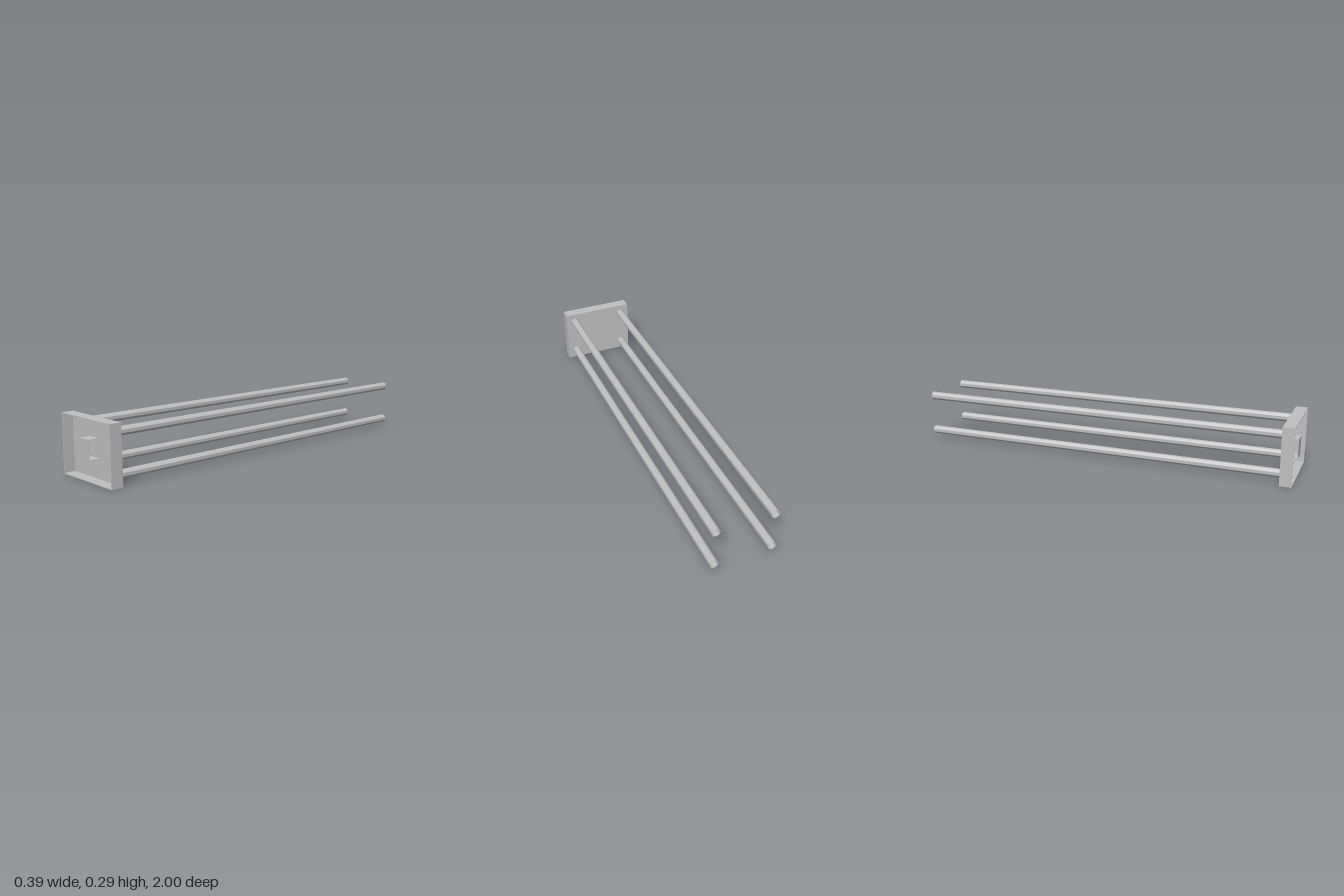
import * as THREE from 'three';
import { toCreasedNormals } from 'three/addons/utils/BufferGeometryUtils.js';

const steel = new THREE.MeshStandardMaterial({ color: 0xbfbfbf });
steel.name = 'steel grey';

const W = 0.39, H = 0.293, T = 0.004;  // tray width, height, sheet thickness
const BACK = 0.94, FRONT = 1;          // tray depth range

function box(name, w, h, d, x, y, z) {
  const mesh = new THREE.Mesh(new THREE.BoxGeometry(w, h, d), steel);
  mesh.name = name;
  mesh.position.set(x, y, z);
  return mesh;
}

// Shallow tray, open to the front
function createTray() {
  const tray = new THREE.Group();
  tray.name = 'tray';
  const depth = FRONT - BACK - T, z = (FRONT + BACK + T) / 2;
  tray.add(box('backPlate', W, H, T, 0, H / 2, BACK + T / 2));
  for (const s of [-1, 1]) {
    tray.add(box(s > 0 ? 'leftRim' : 'rightRim', T, H, depth, s * (W - T) / 2, H / 2, z));
    tray.add(box(s > 0 ? 'topRim' : 'bottomRim', W - 2 * T, T, depth, 0, H / 2 + s * (H - T) / 2, z));
  }
  return tray;
}

// C-shaped bracket, open at both sides, its legs on the back plate
function createBracket() {
  const bracket = new THREE.Group();
  bracket.name = 'bracket';
  const w = 0.073, h = 0.098, x = -0.0135, y = 0.1475, t = 0.003;
  const legDepth = FRONT - t - BACK - T;
  bracket.add(box('bracketFace', w, h, t, x, y, FRONT - t / 2));
  for (const s of [-1, 1]) {
    bracket.add(box(s > 0 ? 'upperLeg' : 'lowerLeg', w, t, legDepth,
      x, y + s * (h - t) / 2, BACK + T + legDepth / 2));
  }
  return bracket;
}

// Hollow round tube running backwards from the tray
function createTubeGeometry() {
  const ring = new THREE.Shape().absarc(0, 0, 0.0213, 0, Math.PI * 2, false);
  ring.holes.push(new THREE.Path().absarc(0, 0, 0.0193, 0, Math.PI * 2, true));
  const geometry = new THREE.ExtrudeGeometry(ring, {
    depth: BACK + 1, bevelEnabled: false, curveSegments: 32,
  });
  geometry.translate(0, 0, -1);
  return toCreasedNormals(geometry, Math.PI / 5);
}

export function createModel() {
  const model = new THREE.Group();
  model.name = 'trayWithTubes';
  model.add(createTray(), createBracket());

  const tubeGeometry = createTubeGeometry();
  for (const sx of [-1, 1]) {
    for (const sy of [-1, 1]) {
      const tube = new THREE.Mesh(tubeGeometry, steel);
      tube.name = (sy > 0 ? 'upper' : 'lower') + (sx > 0 ? 'Left' : 'Right') + 'Tube';
      tube.position.set(sx * 0.146, H / 2 + sy * 0.098, 0);
      model.add(tube);
    }
  }
  return model;
}
